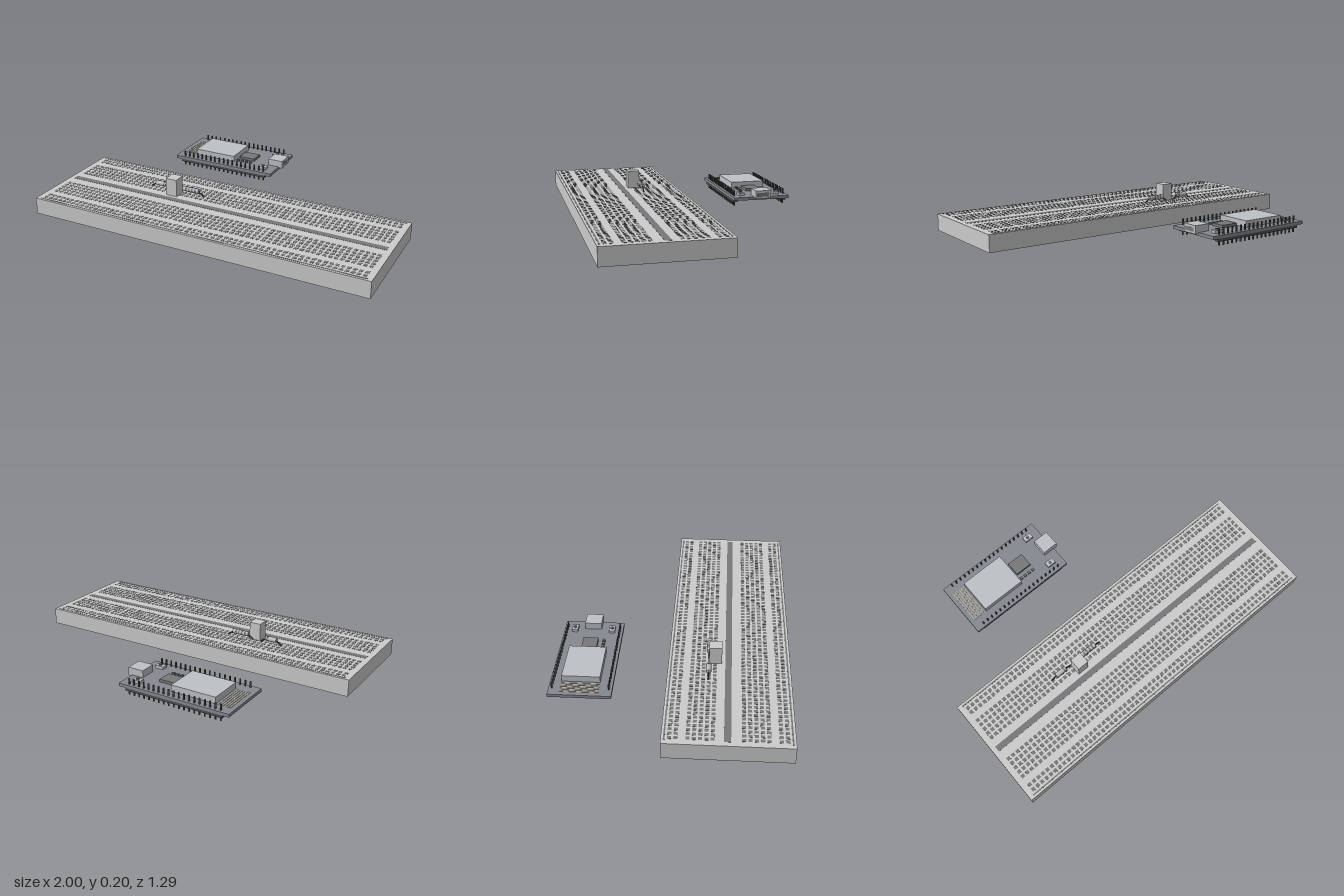
import * as THREE from 'three';
import { mergeGeometries } from 'three/addons/utils/BufferGeometryUtils.js';

const mat = (color) => new THREE.MeshStandardMaterial({ color });
const grey = mat(0xcccccc);
const dark = mat(0x77777a);
const pcbMat = mat(0x858a90);
const metal = mat(0xbec1c5);
const black = mat(0x505054);
const gold = mat(0xb8ad98);

const PITCH = 0.0308;
const BOARD_TOP = 0.097;
const BOARD_Z = 0.3125;

function add(parent, name, geometry, material) {
  const mesh = new THREE.Mesh(geometry, material);
  mesh.name = name;
  parent.add(mesh);
  return mesh;
}

// Box given by its minimum and maximum on each axis
function boxGeo(x0, x1, y0, y1, z0, z1) {
  return new THREE.BoxGeometry(x1 - x0, y1 - y0, z1 - z0)
    .translate((x0 + x1) / 2, (y0 + y1) / 2, (z0 + z1) / 2);
}

function createBreadboard() {
  const g = new THREE.Group();
  g.name = 'breadboard';
  add(g, 'boardBody', boxGeo(-1, 1, 0, BOARD_TOP, -0.02, 0.645), grey);
  add(g, 'centreChannel',
    boxGeo(-0.972, 0.972, BOARD_TOP - 0.004, BOARD_TOP + 0.001, 0.291, 0.326), dark);

  // Five terminal rows and two power rows on each half
  const offsets = [0, 1, 2, 3, 4].map((i) => 0.077 + i * PITCH).concat([0.26, 0.291]);
  const holes = [];
  for (const side of [-1, 1]) {
    for (const offset of offsets) {
      for (let c = -31; c <= 31; c++) {
        holes.push(new THREE.BoxGeometry(0.02, 0.004, 0.02)
          .translate(c * PITCH, BOARD_TOP - 0.001, BOARD_Z + side * offset));
      }
    }
    // Printed line along each power rail
    const z = BOARD_Z + side * 0.3165;
    add(g, 'railLine',
      boxGeo(-0.975, 0.975, BOARD_TOP - 0.001, BOARD_TOP + 0.001, z - 0.004, z + 0.004), dark);
  }
  add(g, 'contactHoles', mergeGeometries(holes), dark);
  return g;
}

// Axial part: round body lying along x, leads sloping down to the board
function createAxialPart(name, x, halfBody, halfSpan, bandOffsets) {
  const g = new THREE.Group();
  g.name = name;
  const lift = 0.027;
  const radius = 0.014;
  add(g, 'axialBody',
    new THREE.CylinderGeometry(radius, radius, halfBody * 2, 16).rotateZ(Math.PI / 2), metal);
  for (const b of bandOffsets) {
    add(g, 'band', new THREE.CylinderGeometry(radius + 0.0006, radius + 0.0006, 0.008, 16)
      .rotateZ(Math.PI / 2).translate(b, 0, 0), dark);
  }
  for (const s of [-1, 1]) {
    const from = new THREE.Vector3(s * (halfBody - 0.004), 0, 0);
    const to = new THREE.Vector3(s * halfSpan, -lift, 0);
    add(g, 'lead',
      new THREE.TubeGeometry(new THREE.LineCurve3(from, to), 1, 0.0035, 8), black);
  }
  g.position.set(x, BOARD_TOP + lift, 0.202);
  return g;
}

function createController() {
  const g = new THREE.Group();
  g.name = 'controllerModule';
  const top = 0.071;
  const under = 0.053;
  const midZ = -0.475;
  add(g, 'circuitBoard', boxGeo(-0.638, 0.027, under, top, -0.645, -0.305), pcbMat);
  add(g, 'shieldCan', boxGeo(-0.526, -0.26, top, 0.108, -0.583, -0.375), metal);
  add(g, 'chip', boxGeo(-0.248, -0.147, top, 0.087, -0.52, -0.435), dark);

  // USB socket with its dark mouth
  add(g, 'usbShell', boxGeo(-0.043, 0.05, 0.064, 0.111, -0.526, -0.43), metal);
  add(g, 'usbMouth', boxGeo(0.04, 0.051, 0.075, 0.098, -0.512, -0.442), dark);

  // Antenna traces
  for (let i = 0; i < 6; i++) {
    const x = -0.612 + i * 0.014;
    add(g, 'antennaTrace', boxGeo(x, x + 0.005, top, top + 0.002, -0.583, -0.375), gold);
  }

  // Small components in a row beside the chip
  for (let i = 0; i < 4; i++) {
    const x = -0.24 + i * 0.028;
    add(g, 'smallComponent',
      boxGeo(x - 0.008, x + 0.008, top, 0.081, -0.41, -0.395), dark);
  }

  for (const side of [-1, 1]) {
    // Push buttons near the socket
    const bz = midZ + side * 0.107;
    add(g, 'buttonBase', boxGeo(-0.077, -0.025, top, 0.087, bz - 0.017, bz + 0.017), metal);
    add(g, 'buttonCap',
      new THREE.CylinderGeometry(0.009, 0.009, 0.007, 16).translate(-0.051, 0.09, bz), dark);

    // Pin header under each long edge
    const pz = midZ + side * 0.152;
    add(g, 'headerStrip',
      boxGeo(-0.598, -0.013, 0.036, under, pz - 0.014, pz + 0.014), black);
    const pins = [];
    for (let i = -9; i <= 9; i++) {
      pins.push(new THREE.BoxGeometry(0.007, 0.093, 0.007)
        .translate(-0.3055 + i * PITCH, 0.0585, pz));
    }
    add(g, 'headerPins', mergeGeometries(pins), black);
  }
  return g;
}

export function createModel() {
  const model = new THREE.Group();
  model.name = 'breadboardAndController';
  model.add(createBreadboard());
  model.add(createController());
  add(model, 'blockComponent', boxGeo(-0.359, -0.291, BOARD_TOP, 0.2, 0.202, 0.272), grey);
  model.add(createAxialPart('shortAxialPart', -0.433, 0.034, 0.068, [0.022]));
  model.add(createAxialPart('longAxialPart', -0.235, 0.051, 0.085, [-0.03, -0.01, 0.01, 0.03]));
  return model;
}
